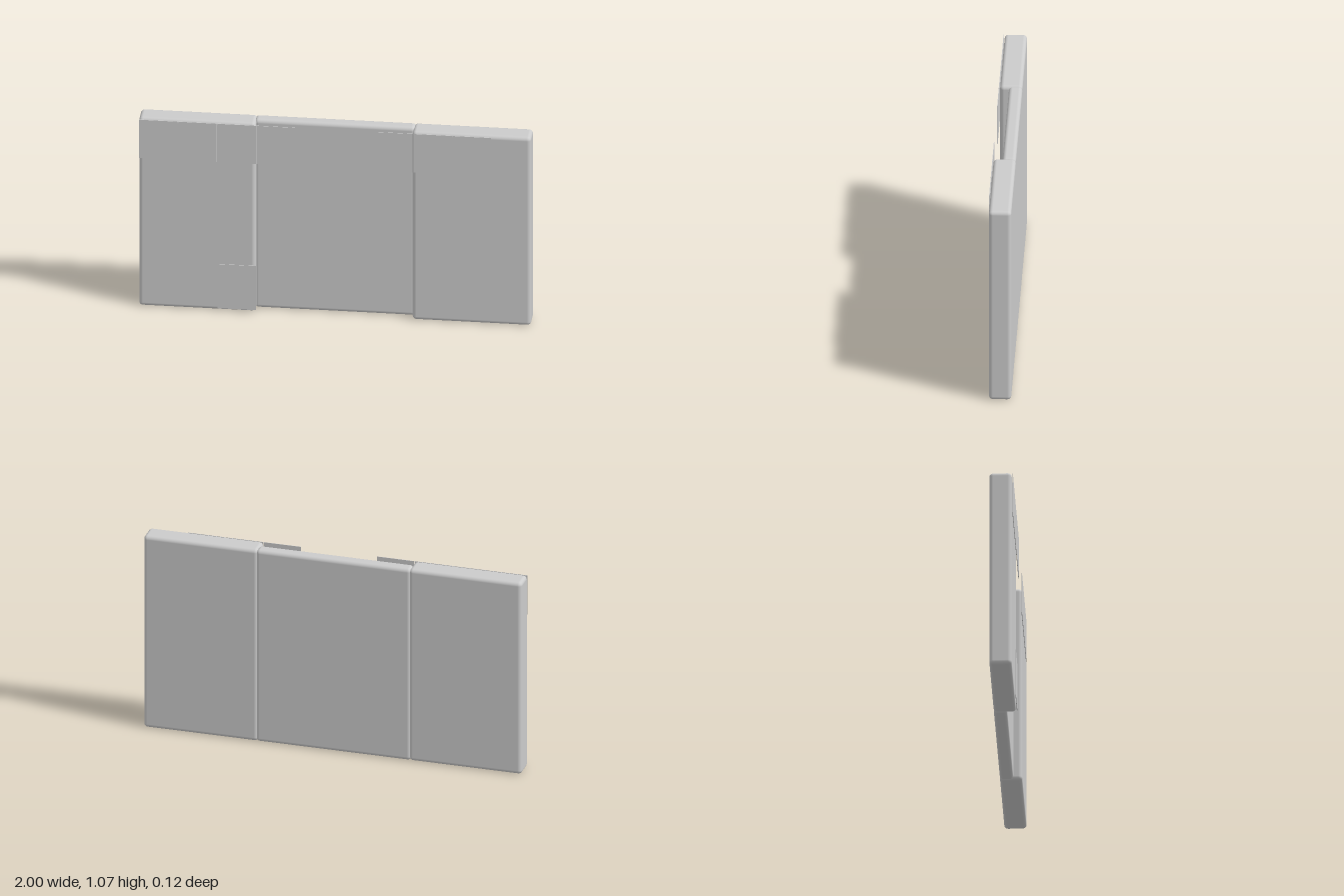
import * as THREE from 'three';
import { RoundedBoxGeometry } from 'three/addons/geometries/RoundedBoxGeometry.js';

const HEIGHT = 1.07;
const BACK = -0.059;

export function createModel() {
  const model = new THREE.Group();
  model.name = 'foldedWallPanel';
  const material = new THREE.MeshStandardMaterial({ color: 0xcccccc });

  // Rounded upright slab sharing the common back plane
  function addSlab(name, x0, x1, front) {
    const depth = front - BACK;
    const slab = new THREE.Mesh(
      new RoundedBoxGeometry(x1 - x0, HEIGHT, depth, 4, 0.02), material);
    slab.name = name;
    slab.position.set((x0 + x1) / 2, HEIGHT / 2, (front + BACK) / 2);
    model.add(slab);
  }
  addSlab('rightPanel', -1, -0.405, 0.055);
  addSlab('middlePanel', -0.415, 0.405, 0.01);
  addSlab('leftPanel', 0.395, 1, 0.055);

  // Thin square cards lying just in front of the slabs
  function addCard(name, x, y0, y1) {
    const card = new THREE.Mesh(
      new THREE.BoxGeometry(0.196, y1 - y0, 0.003), material);
    card.name = name;
    card.position.set(x, (y0 + y1) / 2, 0.06);
    model.add(card);
  }
  [-0.9, -0.7, -0.5, -0.3, 0.3, 0.5, 0.7].forEach((x, i) =>
    addCard(`upperCard${i + 1}`, x, 0.845, 1.063));
  addCard('lowerCard', -0.5, 0.013, 0.264);

  return model;
}
